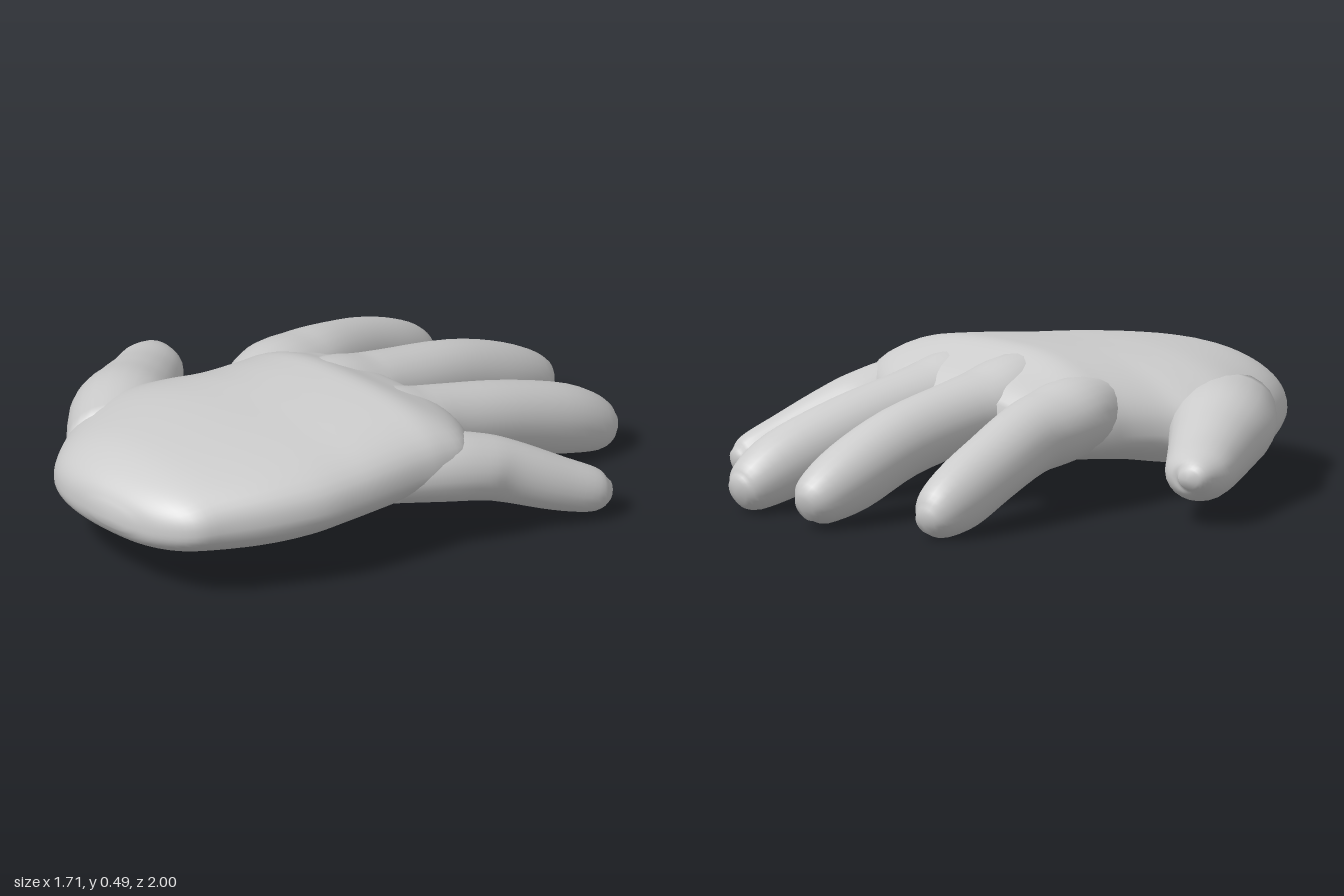
import * as THREE from 'three';

const UP = new THREE.Vector3(0, 1, 0);

// Smooth closed loft through stations [x, y, z, halfWidth, heightAbove, heightBelow].
// power < 1 squares the cross-section; level keeps every section upright across x;
// lean bends the sections down towards -x and up towards +x.
function loft(stations, { rows = 28, sides = 24, power = 1, level = false, lean = 0 } = {}) {
  const path = new THREE.CatmullRomCurve3(
    stations.map(s => new THREE.Vector3(s[0], s[1], s[2])), false, 'catmullrom', 0.5);
  const size = new THREE.CatmullRomCurve3(
    stations.map(s => new THREE.Vector3(s[3], s[4], s[5])), false, 'catmullrom', 0.5);
  const bend = v => Math.sign(v) * Math.abs(v) ** power;
  const pos = [], index = [];

  for (let i = 0; i <= rows; i++) {
    const t = i / rows, c = path.getPoint(t), r = size.getPoint(t);
    const dir = level ? new THREE.Vector3(0, 0, -1) : path.getTangent(t);
    const side = dir.clone().cross(UP).normalize();
    const up = side.clone().cross(dir).normalize();
    for (let j = 0; j < sides; j++) {
      const a = j / sides * Math.PI * 2, s = Math.sin(a);
      const p = c.clone()
        .addScaledVector(side, r.x * bend(Math.cos(a)))
        .addScaledVector(up, (s > 0 ? r.y : r.z) * bend(s));
      const d = p.x - 0.1;
      pos.push(p.x, p.y + lean * d * Math.abs(d), p.z);
    }
  }

  // End centres, pushed out slightly to round the caps
  const start = (rows + 1) * sides, end = start + 1;
  const a = path.getPoint(0).addScaledVector(path.getTangent(0), -0.008);
  const b = path.getPoint(1).addScaledVector(path.getTangent(1), 0.012);
  pos.push(a.x, a.y, a.z, b.x, b.y, b.z);

  for (let j = 0; j < sides; j++) {
    const k = (j + 1) % sides, last = rows * sides;
    for (let i = 0; i < rows; i++) {
      const p = i * sides, q = p + sides;
      index.push(p + j, q + j, p + k, p + k, q + j, q + k);
    }
    index.push(start, j, k, end, last + k, last + j);
  }

  const geo = new THREE.BufferGeometry();
  geo.setAttribute('position', new THREE.Float32BufferAttribute(pos, 3));
  geo.setIndex(index);
  geo.computeVertexNormals();
  return geo;
}

// Palm sections from heel to finger webs: [z, xMin, xMax, yTop, yBottom, yEdge]
const PALM = [
  [0.99, 0.01, 0.19, 0.29, 0.22, 0.25],
  [0.96, -0.15, 0.32, 0.34, 0.18, 0.25],
  [0.90, -0.27, 0.42, 0.385, 0.15, 0.25],
  [0.80, -0.36, 0.475, 0.425, 0.12, 0.25],
  [0.65, -0.46, 0.555, 0.45, 0.097, 0.25],
  [0.50, -0.53, 0.615, 0.465, 0.09, 0.25],
  [0.36, -0.48, 0.64, 0.472, 0.10, 0.255],
  [0.25, -0.40, 0.655, 0.48, 0.11, 0.26],
  [0.12, -0.355, 0.67, 0.49, 0.12, 0.265],
  [0.02, -0.345, 0.685, 0.49, 0.13, 0.265],
  [-0.08, -0.34, 0.68, 0.45, 0.145, 0.265],
  [-0.17, -0.31, 0.58, 0.41, 0.17, 0.275],
  [-0.23, -0.24, 0.46, 0.36, 0.22, 0.285],
];

// Digits from the buried root to the tip, in loft station form
const DIGITS = {
  thumb: [
    [-0.27, 0.25, 0.63, 0.16, 0.13, 0.12],
    [-0.45, 0.235, 0.43, 0.175, 0.15, 0.13],
    [-0.57, 0.21, 0.27, 0.148, 0.13, 0.135],
    [-0.665, 0.185, 0.14, 0.127, 0.112, 0.118],
    [-0.75, 0.175, 0.03, 0.11, 0.088, 0.095],
    [-0.79, 0.175, -0.03, 0.075, 0.062, 0.065],
    [-0.80, 0.172, -0.065, 0.038, 0.03, 0.03],
  ],
  indexFinger: [
    [-0.17, 0.29, 0.18, 0.09, 0.11, 0.10],
    [-0.215, 0.30, -0.02, 0.145, 0.13, 0.13],
    [-0.245, 0.285, -0.17, 0.142, 0.125, 0.13],
    [-0.27, 0.265, -0.30, 0.122, 0.122, 0.125],
    [-0.32, 0.205, -0.50, 0.113, 0.12, 0.12],
    [-0.347, 0.135, -0.68, 0.102, 0.115, 0.12],
    [-0.356, 0.085, -0.79, 0.08, 0.09, 0.085],
    [-0.357, 0.065, -0.84, 0.042, 0.04, 0.04],
  ],
  middleFinger: [
    [0.06, 0.33, 0.14, 0.09, 0.14, 0.10],
    [0.06, 0.335, -0.03, 0.145, 0.14, 0.15],
    [0.062, 0.315, -0.17, 0.147, 0.125, 0.14],
    [0.063, 0.30, -0.28, 0.127, 0.12, 0.125],
    [0.063, 0.245, -0.55, 0.115, 0.122, 0.122],
    [0.063, 0.165, -0.78, 0.109, 0.115, 0.128],
    [0.065, 0.10, -0.93, 0.085, 0.09, 0.09],
    [0.07, 0.075, -0.98, 0.042, 0.045, 0.045],
  ],
  ringFinger: [
    [0.30, 0.32, 0.16, 0.09, 0.12, 0.10],
    [0.327, 0.325, -0.02, 0.14, 0.135, 0.14],
    [0.342, 0.30, -0.15, 0.142, 0.128, 0.13],
    [0.352, 0.28, -0.27, 0.126, 0.122, 0.122],
    [0.38, 0.23, -0.50, 0.118, 0.12, 0.12],
    [0.413, 0.155, -0.74, 0.109, 0.115, 0.12],
    [0.432, 0.095, -0.88, 0.085, 0.085, 0.09],
    [0.438, 0.08, -0.93, 0.044, 0.045, 0.045],
  ],
  littleFinger: [
    [0.53, 0.29, 0.18, 0.10, 0.10, 0.09],
    [0.59, 0.275, -0.02, 0.122, 0.12, 0.11],
    [0.635, 0.25, -0.16, 0.12, 0.112, 0.11],
    [0.675, 0.215, -0.26, 0.098, 0.105, 0.105],
    [0.743, 0.145, -0.41, 0.083, 0.093, 0.09],
    [0.793, 0.098, -0.53, 0.068, 0.075, 0.072],
    [0.81, 0.085, -0.58, 0.036, 0.038, 0.038],
  ],
};

export function createModel() {
  const hand = new THREE.Group();
  hand.name = 'hand';
  const skin = new THREE.MeshStandardMaterial({ color: 0xcccccc });
  const add = (name, geometry) => {
    const mesh = new THREE.Mesh(geometry, skin);
    mesh.name = name;
    hand.add(mesh);
  };

  // Palm: upright sections, domed over a flatter underside
  const sections = PALM.map(([z, x0, x1, top, bottom, edge]) =>
    [(x0 + x1) / 2, edge, z, (x1 - x0) / 2, top - edge, edge - bottom]);
  add('palm', loft(sections, { rows: 48, sides: 48, power: 0.87, level: true, lean: 0.14 }));

  // Thumb and fingers
  for (const [name, stations] of Object.entries(DIGITS)) add(name, loft(stations));
  return hand;
}
